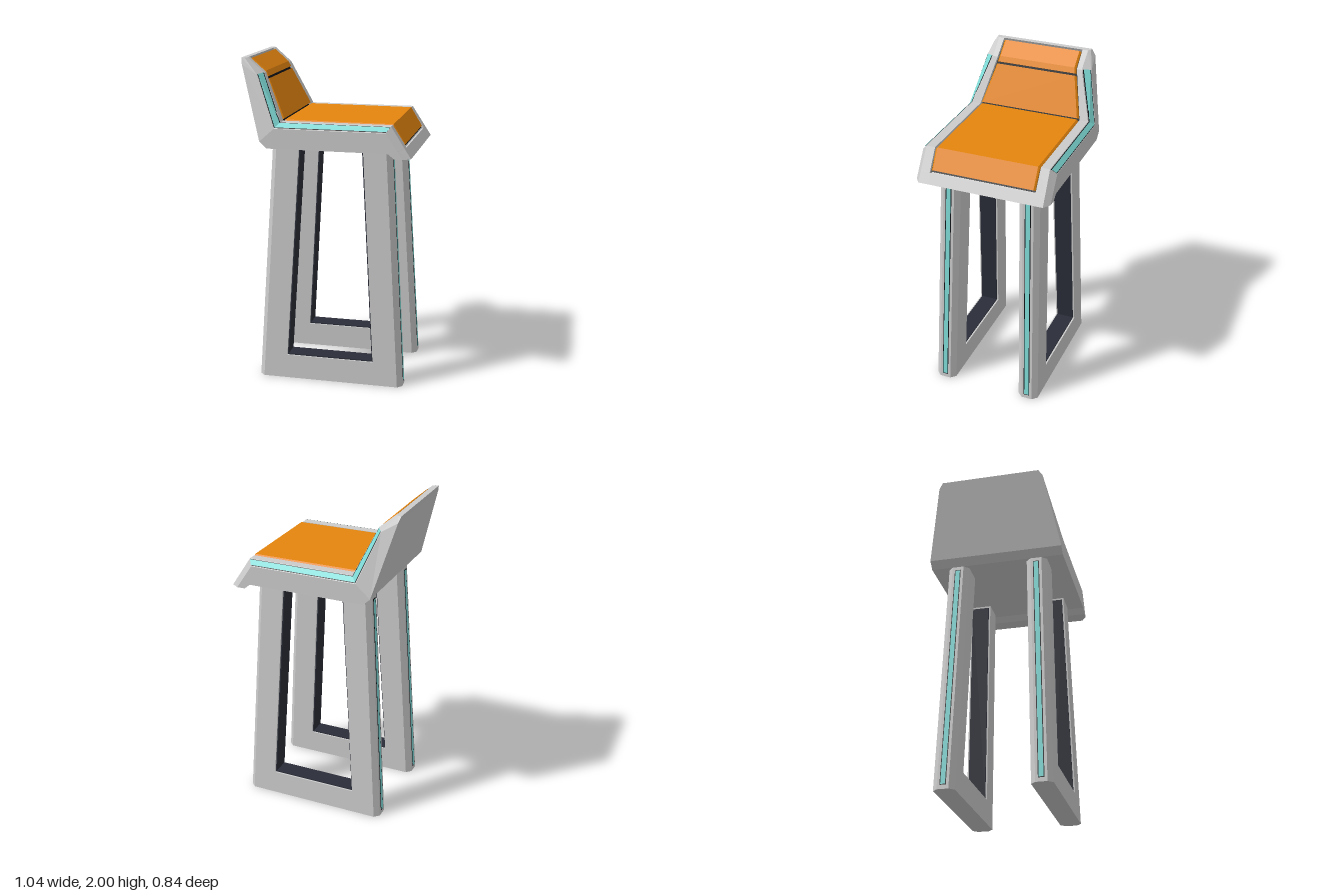
import * as THREE from 'three';

const paint = (color, extra = {}) => new THREE.MeshStandardMaterial({ color, flatShading: true, ...extra });

// Skin a list of equal-sized point rings [[x,y,z],...], cap both ends, face outward
function loft(rings) {
  const tris = [];
  const n = rings[0].length;
  for (let i = 0; i < rings.length - 1; i++) {
    for (let j = 0; j < n; j++) {
      const k = (j + 1) % n;
      const [a, b, c, d] = [rings[i][j], rings[i][k], rings[i + 1][k], rings[i + 1][j]];
      tris.push([a, b, c], [a, c, d]);
    }
  }
  const first = rings[0], last = rings[rings.length - 1];
  for (let j = 1; j < n - 1; j++) {
    tris.push([first[0], first[j + 1], first[j]], [last[0], last[j], last[j + 1]]);
  }
  const v = tris.map(t => t.map(p => new THREE.Vector3(...p)));
  const centre = new THREE.Vector3(...first[0]);
  let volume = 0;
  for (const [a, b, c] of v) {
    volume += a.clone().sub(centre).dot(b.clone().sub(centre).cross(c.clone().sub(centre)));
  }
  const points = v.flatMap(([a, b, c]) => (volume < 0 ? [a, c, b] : [a, b, c]));
  const geometry = new THREE.BufferGeometry().setFromPoints(points);
  geometry.computeVertexNormals();
  return geometry;
}

// Open ribbon through pairs of edge points
function ribbon(pairs) {
  const points = [];
  for (let i = 0; i < pairs.length - 1; i++) {
    const [a, b] = pairs[i], [d, c] = pairs[i + 1];
    points.push(a, b, c, a, c, d);
  }
  const geometry = new THREE.BufferGeometry().setFromPoints(points.map(p => new THREE.Vector3(...p)));
  geometry.computeVertexNormals();
  return geometry;
}

// Upholstery slab following a path of [x, y, halfWidth], with bevelled long edges
function padGeometry(path, depth, bevel) {
  return loft(path.map(([x, y, w], i) => {
    const p = path[Math.max(i - 1, 0)], q = path[Math.min(i + 1, path.length - 1)];
    const length = Math.hypot(q[0] - p[0], q[1] - p[1]);
    const nx = -(q[1] - p[1]) / length, ny = (q[0] - p[0]) / length;
    const at = (d, z) => [x - nx * d, y - ny * d, z];
    return [at(depth, -w), at(bevel, -w), at(0, bevel - w), at(0, w - bevel), at(bevel, w), at(depth, w)];
  }));
}

export function createModel() {
  const group = new THREE.Group();
  const grey = paint(0xcccccc);
  const orange = paint(0xe5850e);
  const dark = paint(0x2a2d38);
  const black = paint(0x101418, { side: THREE.DoubleSide });
  const teal = paint(0x7fdcd8, { side: THREE.DoubleSide });
  const add = (name, geometry, material, parent = group) => {
    const mesh = new THREE.Mesh(geometry, material);
    mesh.name = name;
    parent.add(mesh);
    return mesh;
  };

  // Seat shell stations: outer O, side shoulder S, rim top T as [x, y, halfWidth];
  // recess floor R as [x, y], wi = half-width of the recess
  const stations = [
    { O: [-0.525, 2, 0.31], S: [-0.505, 2, 0.31], T: [-0.49, 2, 0.295], wi: 0.26 },
    { O: [-0.525, 2, 0.31], S: [-0.505, 2, 0.31], T: [-0.485, 1.996, 0.295], R: [-0.503, 1.975], wi: 0.26 },
    { O: [-0.515, 1.965, 0.335], S: [-0.42, 1.905, 0.345], T: [-0.387, 1.912, 0.293], R: [-0.42, 1.885], wi: 0.262 },
    { O: [-0.39, 1.52, 0.42], S: [-0.3, 1.6, 0.42], T: [-0.265, 1.635, 0.385], R: [-0.285, 1.6], wi: 0.33 },
    { O: [-0.345, 1.48, 0.42], S: [-0.3, 1.6, 0.42], T: [-0.265, 1.635, 0.385], R: [-0.285, 1.6], wi: 0.33 },
    { O: [0.385, 1.48, 0.42], S: [0.37, 1.6, 0.42], T: [0.395, 1.635, 0.385], R: [0.38, 1.6], wi: 0.33 },
    { O: [0.42, 1.45, 0.42], S: [0.437, 1.5, 0.42], T: [0.472, 1.516, 0.388], R: [0.455, 1.49], wi: 0.33 },
    { O: [0.42, 1.45, 0.42], S: [0.44, 1.495, 0.42], T: [0.478, 1.507, 0.388], wi: 0.33 },
    { O: [0.42, 1.45, 0.42], S: [0.47, 1.45, 0.42], T: [0.515, 1.45, 0.39], wi: 0.33 },
  ];
  add('seatShell', loft(stations.map(({ O, S, T, R = T, wi }) => {
    const half = [O, S, T, [T[0], T[1], wi], [R[0], R[1], wi]];
    return [...half, ...half.map(([x, y, z]) => [x, y, -z]).reverse()];
  })), grey);

  // Dark liner showing in the gaps around the cushions
  add('cushionLiner', padGeometry([
    [-0.488, 1.98, 0.258], [-0.4, 1.905, 0.26], [-0.275, 1.62, 0.328], [0.385, 1.622, 0.328], [0.462, 1.508, 0.328],
  ], 0.012, 0.001), black);

  // Three cushions
  add('headCushion', padGeometry([[-0.478, 1.993, 0.254], [-0.392, 1.918, 0.254], [-0.376, 1.886, 0.26]], 0.025, 0.01), orange);
  add('backCushion', padGeometry([[-0.371, 1.874, 0.263], [-0.264, 1.645, 0.323]], 0.025, 0.01), orange);
  add('seatCushion', padGeometry([[-0.258, 1.64, 0.324], [0.397, 1.638, 0.324], [0.468, 1.522, 0.324]], 0.025, 0.01), orange);

  // Accent strips along the chamfered shell sides
  const mix = (a, b, t, z, lift) => [
    a[0] + (b[0] - a[0]) * t, a[1] + (b[1] - a[1]) * t + lift, z * (a[2] + (b[2] - a[2]) * t + lift),
  ];
  for (const side of [1, -1]) {
    for (const [name, material, lo, hi, lift] of [
      ['shellStripBorder', black, 0.08, 0.92, 0.0015], ['shellStrip', teal, 0.16, 0.84, 0.003],
    ]) {
      const pairs = [2, 3, 5].map(i => [lo, hi].map(t => mix(stations[i].S, stations[i].T, t, side, lift)));
      add(name, ribbon(pairs), material);
    }
  }

  // Leg frames: tapered U shapes that lean inward
  const top = 1.482;
  const lean = y => 0.285 - 0.035 * y / top;
  const corners = [
    { out: [-0.345, top], inn: [-0.175, top], s: 1 },
    { out: [-0.437, 0], inn: [-0.255, 0.15], s: 1 },
    { out: [0.475, 0], inn: [0.29, 0.15], s: -1 },
    { out: [0.385, top], inn: [0.215, top], s: -1 },
  ];
  for (const side of [1, -1]) {
    const frame = new THREE.Group();
    frame.name = side > 0 ? 'leftLegFrame' : 'rightLegFrame';
    group.add(frame);
    const at = (x, y, dz) => [x, y, side * (lean(y) + dz)];

    add('legs', loft(corners.map(({ out: [ox, oy], inn: [ix, iy], s }) => [
      at(ix, iy, 0.065), at(ix, iy, -0.065), at(ox + 0.03 * s, oy, -0.065),
      at(ox, oy, -0.035), at(ox, oy, 0.035), at(ox + 0.03 * s, oy, 0.065),
    ])), grey, frame);

    // Dark lining inside the opening
    add('openingLining', loft(corners.map(({ inn: [x, y], s }) => {
      const low = y < 1;
      const y0 = low ? y - 0.004 : 1.465, y1 = low ? y + 0.007 : 1.465;
      return [
        at(x - 0.004 * s, y0, 0.055), at(x - 0.004 * s, y0, -0.055),
        at(x + 0.007 * s, y1, -0.055), at(x + 0.007 * s, y1, 0.055),
      ];
    })), dark, frame);

    // Accent strips down the front and rear of the legs
    for (const [upper, lower] of [[corners[0], corners[1]], [corners[3], corners[2]]]) {
      for (const [name, material, w, lift, inset] of [
        ['legStripBorder', black, 0.019, 0.0015, 0.025], ['legStrip', teal, 0.014, 0.003, 0.03],
      ]) {
        const edge = y => {
          const x = lower.out[0] + (upper.out[0] - lower.out[0]) * y / top - lift * lower.s;
          return [at(x, y, -w), at(x, y, w)];
        };
        add(name, ribbon([edge(inset), edge(top - inset)]), material, frame);
      }
    }
  }
  return group;
}
